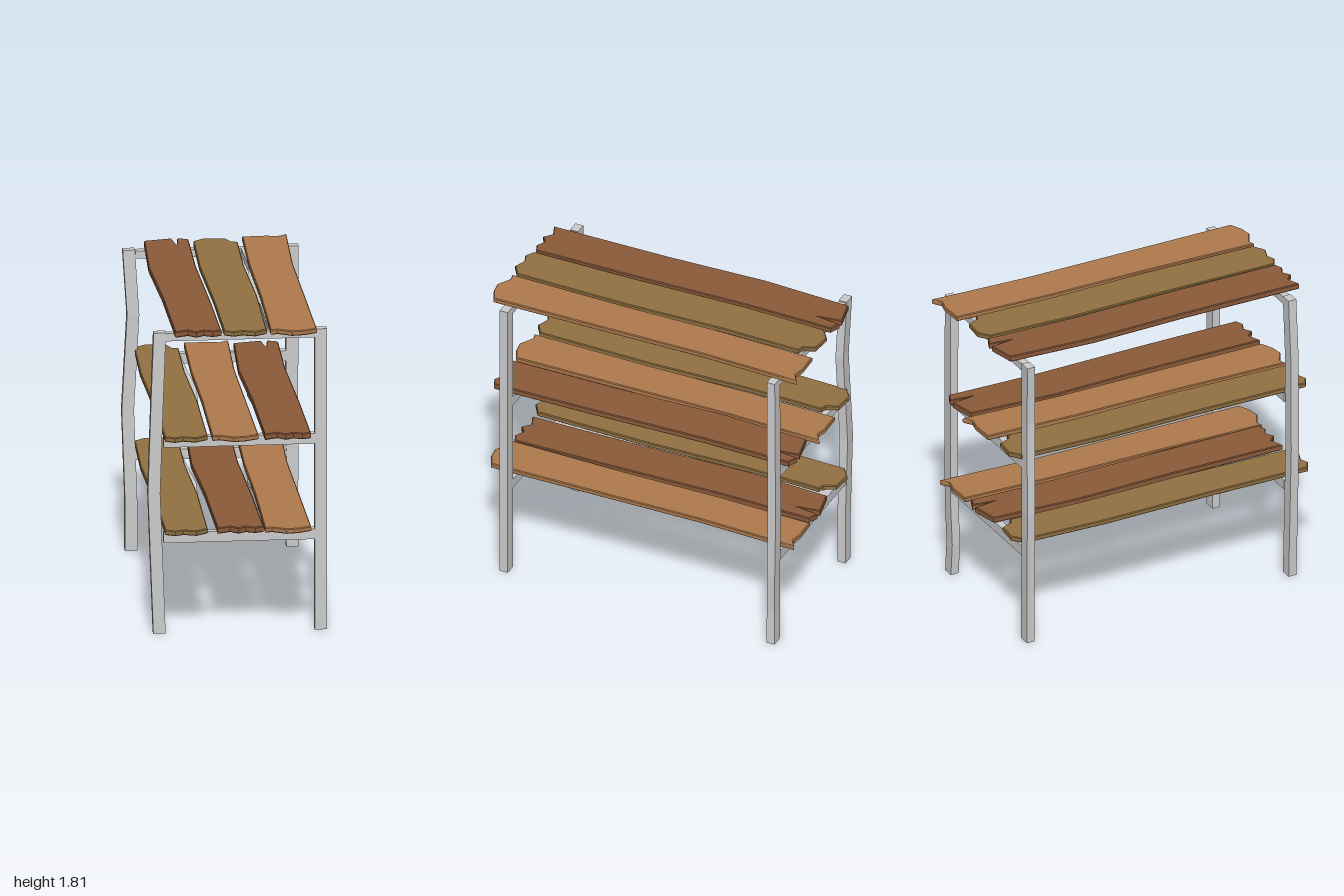
import * as THREE from 'three';

const metal = new THREE.MeshStandardMaterial({ color: 0xcccccc, flatShading: true });
const wood = (color) => new THREE.MeshStandardMaterial({ color, flatShading: true });

// Square bar whose cross-section follows a list of [x, y, z] centres, ordered upward.
function bentBar(name, w, d, path) {
  const n = path.length - 1;
  const geo = new THREE.BoxGeometry(w, n, d, 1, n, 1);
  const pos = geo.attributes.position;
  for (let i = 0; i < pos.count; i++) {
    const [x, y, z] = path[Math.round(pos.getY(i) + n / 2)];
    pos.setXYZ(i, pos.getX(i) + x, y, pos.getZ(i) + z);
  }
  geo.computeVertexNormals();
  const mesh = new THREE.Mesh(geo, metal);
  mesh.name = name;
  return mesh;
}

// Plank outlines seen from above as [x, z], with ragged ends and wavering sides.
const PLANKS = {
  dark: {
    material: wood(0x8b5a3a), thickness: 0.036,
    outline: [
      [-0.365, 0.93], [-0.29, 0.9], [-0.245, 0.94], [-0.2, 0.91], [-0.15, 0.935], [-0.1, 0.915],
      [-0.105, 0.3], [-0.12, -0.4], [-0.11, -0.94], [-0.172, -0.965], [-0.187, -0.82], [-0.205, -0.965],
      [-0.365, -0.93], [-0.39, -0.4], [-0.37, 0.2],
    ],
  },
  olive: {
    material: wood(0x917142), thickness: 0.03,
    outline: [
      [-0.085, 0.92], [-0.03, 0.95], [0.02, 0.93], [0.09, 0.955], [0.16, 0.91],
      [0.17, 0.2], [0.155, -0.4], [0.165, -0.87], [0.13, -0.88], [0.1, -0.95], [-0.02, -0.96],
      [-0.085, -0.91], [-0.1, -0.4], [-0.085, 0.3],
    ],
  },
  tan: {
    material: wood(0xae7a4d), thickness: 0.03,
    outline: [
      [0.18, 0.93], [0.22, 0.92], [0.3, 0.965], [0.37, 0.955], [0.445, 0.92],
      [0.44, 0.2], [0.435, -0.4], [0.455, -1], [0.4, -0.965], [0.34, -0.98], [0.2, -0.975],
      [0.185, -0.4], [0.19, 0.2],
    ],
  },
};

function plank(name, { material, thickness, outline }) {
  const bevel = 0.005;
  const shape = new THREE.Shape(outline.map(([x, z]) => new THREE.Vector2(x, -z)));
  const geo = new THREE.ExtrudeGeometry(shape, {
    depth: thickness - 2 * bevel, bevelThickness: bevel,
    bevelSize: bevel, bevelOffset: -bevel, bevelSegments: 1,
  });
  geo.translate(0, 0, bevel - thickness / 2);
  geo.rotateX(-Math.PI / 2);
  const mesh = new THREE.Mesh(geo, material);
  mesh.name = name;
  return mesh;
}

export function createModel() {
  const model = new THREE.Group();
  model.name = 'shelvingRack';

  // Slightly bent uprights
  const legs = {
    frontLeftLeg: [[0.475, 0, 0.825], [0.475, 0.9, 0.825], [0.475, 1.78, 0.825]],
    backLeftLeg: [[0.475, 0, -0.86], [0.464, 0.2, -0.857], [0.475, 0.45, -0.862],
      [0.472, 0.85, -0.866], [0.475, 1.78, -0.862]],
    frontRightLeg: [[-0.447, 0, 0.825], [-0.478, 0.83, 0.825], [-0.46, 1.4, 0.832], [-0.445, 1.78, 0.825]],
    backRightLeg: [[-0.447, 0, -0.862], [-0.447, 0.3, -0.862], [-0.465, 0.83, -0.868],
      [-0.436, 1.4, -0.855], [-0.46, 1.78, -0.865]],
  };
  for (const [name, path] of Object.entries(legs)) model.add(bentBar(name, 0.07, 0.05, path));

  // Each shelf: rail centre height and height, plank height, planks with x and z offsets
  const shelves = [
    { name: 'lowerShelf', rail: 0.565, railH: 0.06, y: 0.628,
      planks: [['olive', -0.34, 0.035], ['dark', 0.24, 0.02], ['tan', -0.035, 0.033]] },
    { name: 'middleShelf', rail: 1.13, railH: 0.06, y: 1.176,
      planks: [['olive', -0.34, 0.02], ['tan', -0.335, 0.02], ['dark', 0.51, 0.02]] },
    { name: 'topShelf', rail: 1.752, railH: 0.045, y: 1.79,
      planks: [['dark', 0, 0], ['olive', 0, 0], ['tan', 0, 0]] },
  ];
  for (const s of shelves) {
    const shelf = new THREE.Group();
    shelf.name = s.name;

    // Cross rails between the legs
    for (const [end, z] of [['front', 0.825], ['back', -0.862]]) {
      const rail = new THREE.Mesh(new THREE.BoxGeometry(0.87, s.railH, 0.045), metal);
      rail.name = `${end}CrossRail`;
      rail.position.set(0.012, s.rail, z);
      shelf.add(rail);
    }

    // Wavy stringers running front to back under the planks
    for (const [side, x, bend] of [['left', 0.21, -0.03], ['right', -0.2, 0.03]]) {
      const path = [[0, -0.845], [0.01, -0.5], [bend, -0.15], [0, 0.3], [0, 0.81]]
        .map(([dx, z]) => [x + dx, z, -s.rail]);
      const stringer = bentBar(`${side}Stringer`, 0.06, s.railH, path);
      stringer.geometry.rotateX(Math.PI / 2);
      shelf.add(stringer);
    }

    // Boards
    for (const [kind, dx, dz] of s.planks) {
      const board = plank(`${kind}Plank`, PLANKS[kind]);
      board.position.set(dx, s.y, dz);
      shelf.add(board);
    }
    model.add(shelf);
  }
  return model;
}
